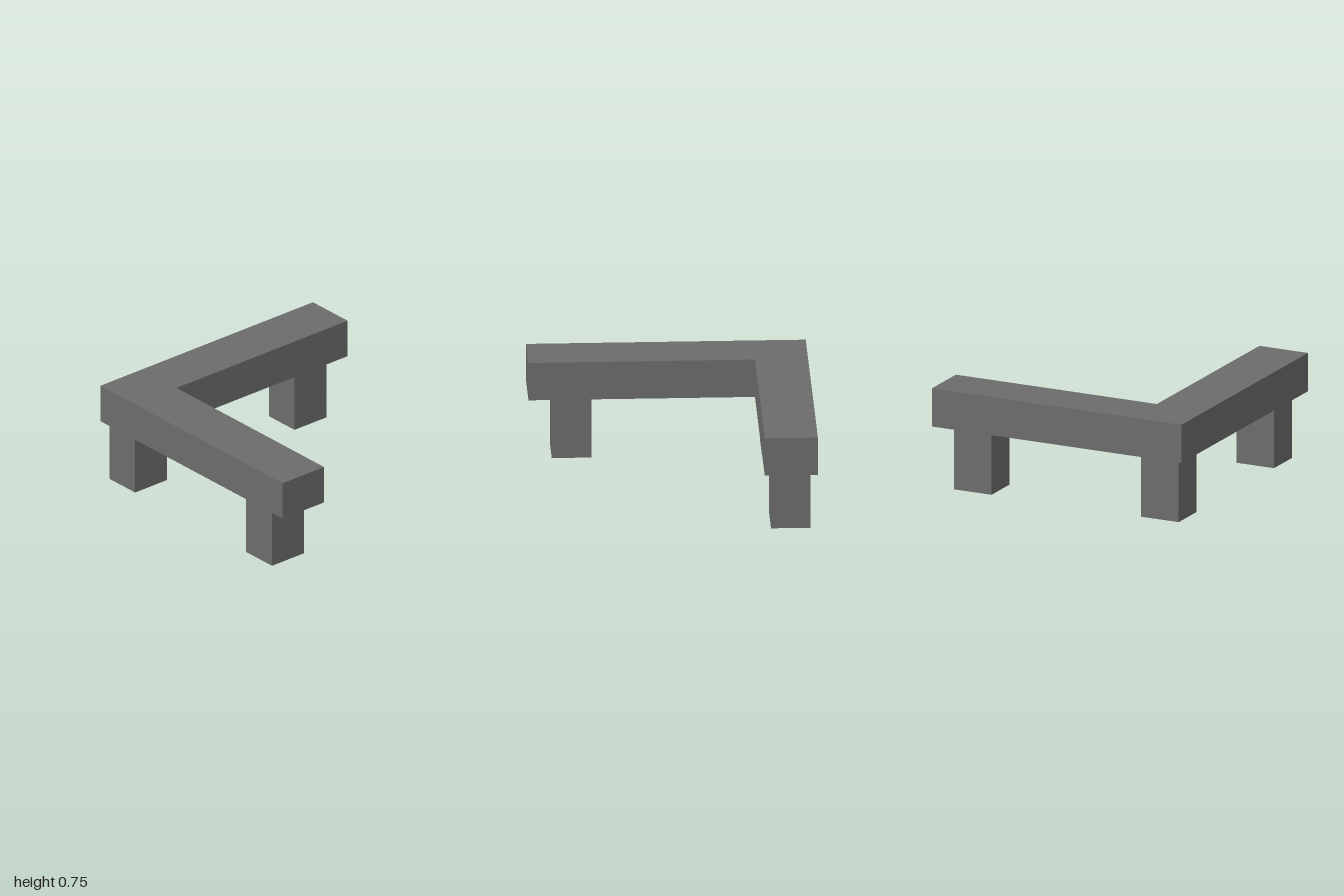
import * as THREE from 'three';

export function createModel() {
  const model = new THREE.Group();
  model.name = 'cornerBench';

  const grey = new THREE.MeshStandardMaterial({ color: 0x6c6c6c });
  grey.name = 'grey';

  const legHeight = 0.46;
  const seatThickness = 0.285;

  // L-shaped seat, drawn in plan (shape y is -z) and extruded upwards
  const plan = new THREE.Shape([
    [-1, -1], [1, -1], [1, -0.61], [-0.62, -0.61], [-0.62, 1], [-1, 1],
  ].map(([x, y]) => new THREE.Vector2(x, y)));
  const seatGeometry = new THREE.ExtrudeGeometry(plan, { depth: seatThickness, bevelEnabled: false });
  seatGeometry.rotateX(-Math.PI / 2);
  const seat = new THREE.Mesh(seatGeometry, grey);
  seat.name = 'seat';
  seat.position.y = legHeight;
  model.add(seat);

  // Three block legs: at the corner and near each free end
  const legGeometry = new THREE.BoxGeometry(0.283, legHeight, 0.3);
  const legs = [
    ['cornerLeg', -0.813, 0.805],
    ['leftLeg', 0.69, 0.805],
    ['backLeg', -0.813, -0.695],
  ];
  for (const [name, x, z] of legs) {
    const leg = new THREE.Mesh(legGeometry, grey);
    leg.name = name;
    leg.position.set(x, legHeight / 2, z);
    model.add(leg);
  }

  return model;
}
